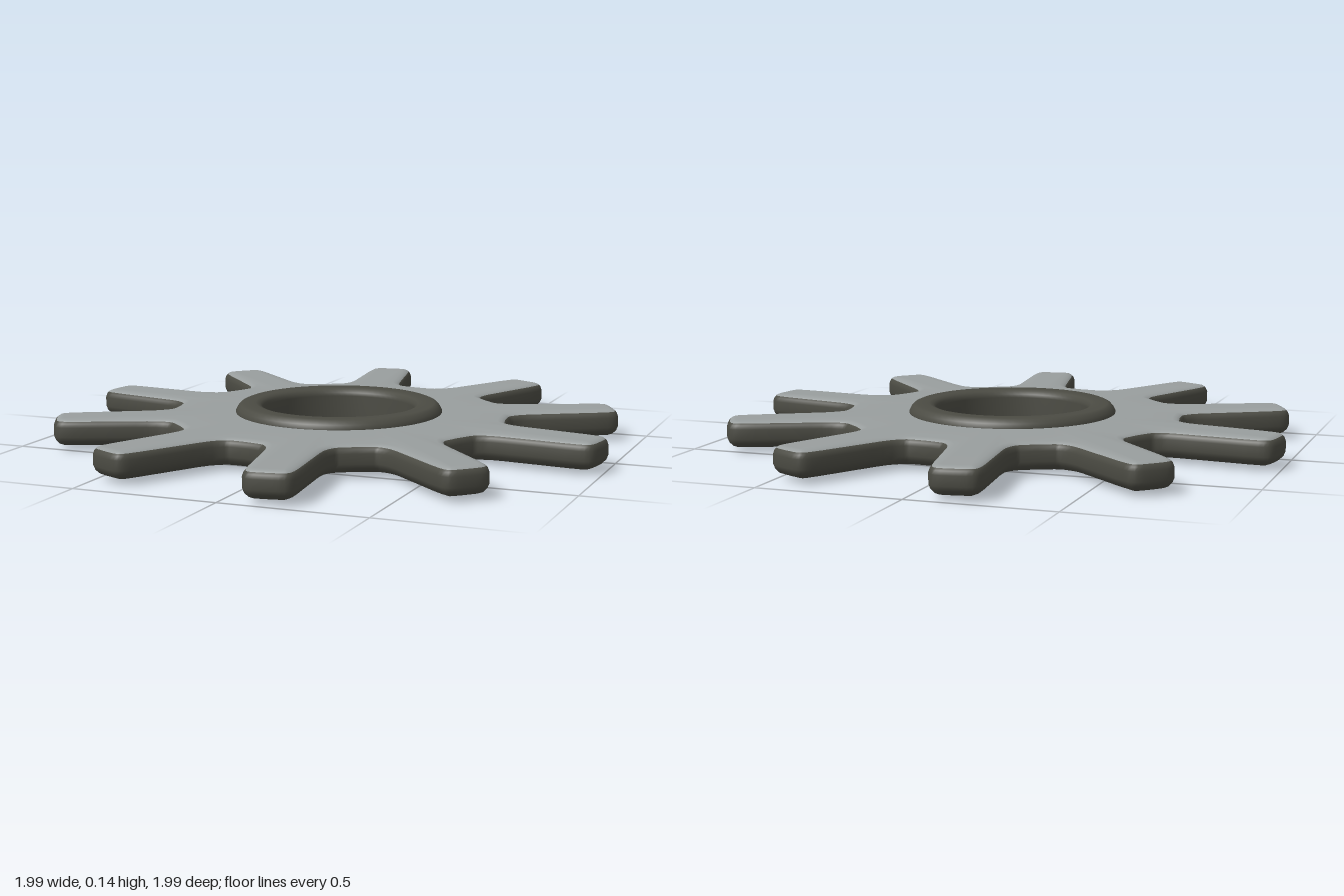
import * as THREE from 'three';

const TEETH = 10, START = 8.7 * Math.PI / 180;

// Gear outline in the x/z plane: one tooth profile repeated around the axis
function gearOutline() {
  const half = [[0.596, 0.134], [0.608, 0.122], [0.645, 0.106], [0.72, 0.1], [0.85, 0.094],
    [0.955, 0.087], [0.985, 0.077], [0.999, 0.058], [1.003, 0.02]];
  const tooth = [...half.map(([r, w]) => [r, -w]), ...half.slice().reverse()];
  const pts = [];
  for (let k = 0; k < TEETH; k++) {
    const a = START + k * 2 * Math.PI / TEETH, c = Math.cos(a), s = Math.sin(a);
    for (const [r, w] of tooth) pts.push(new THREE.Vector3(r * c - w * s, 0, r * s + w * c));
  }
  const curve = new THREE.CatmullRomCurve3(pts, true, 'centripetal');
  return curve.getPoints(pts.length * 2).slice(0, -1);
}

// Rounded plate: inset copies of the outline stacked in y, closing in to the hub
function plateGeometry() {
  const outline = gearOutline(), n = outline.length;
  const inward = outline.map((p, i) => {
    const d = outline[(i + 1) % n].clone().sub(outline[(i + n - 1) % n]).normalize();
    return new THREE.Vector3(-d.z, 0, d.x);
  });
  // [inset, y, blend towards hub circle]
  const levels = [[0.034, 0.014, 1], [0.034, 0.014, 0.4], [0.034, 0.015, 0], [0.018, 0.021, 0],
    [0.006, 0.033, 0], [0, 0.048, 0], [0, 0.082, 0], [0.005, 0.095, 0], [0.011, 0.102, 0],
    [0.02, 0.107, 0], [0.034, 0.11, 0], [0.034, 0.112, 0.4], [0.034, 0.112, 1]];
  const pos = [], index = [];
  for (const [inset, y, t] of levels) {
    outline.forEach((p, i) => {
      const q = p.clone().addScaledVector(inward[i], inset);
      q.setLength(THREE.MathUtils.lerp(q.length(), 0.32, t));
      pos.push(q.x, y, q.z);
    });
  }
  for (let j = 0; j < levels.length - 1; j++) {
    for (let i = 0; i < n; i++) {
      const a = j * n + i, b = j * n + (i + 1) % n;
      index.push(a, a + n, b, b, a + n, b + n);
    }
  }
  const g = new THREE.BufferGeometry();
  g.setAttribute('position', new THREE.Float32BufferAttribute(pos, 3));
  g.setIndex(index);
  g.computeVertexNormals();
  // Underside and edge first, then the pale upper face
  const split = 8 * n * 6;
  g.addGroup(0, split, 0);
  g.addGroup(split, index.length - split, 1);
  return g;
}

export function createModel() {
  const dark = new THREE.MeshStandardMaterial({ color: 0x4b4b43 });
  dark.name = 'darkMetal';
  const pale = new THREE.MeshStandardMaterial({ color: 0x999e9e });
  pale.name = 'paleMetal';

  const model = new THREE.Group();
  model.name = 'gearWheel';

  const plate = new THREE.Mesh(plateGeometry(), [dark, pale]);
  plate.name = 'toothedPlate';
  model.add(plate);

  // Hub ring with softened edges around the open bore
  const profile = [[0.27, 0.012], [0.274, 0.004], [0.284, 0], [0.326, 0], [0.334, 0.003],
    [0.34, 0.012], [0.342, 0.05], [0.366, 0.106], [0.366, 0.116], [0.36, 0.128], [0.35, 0.139],
    [0.338, 0.144], [0.296, 0.144], [0.28, 0.139], [0.272, 0.128], [0.27, 0.116], [0.27, 0.012]];
  const hub = new THREE.Mesh(
    new THREE.LatheGeometry(profile.map(([r, y]) => new THREE.Vector2(r, y)), 72), dark);
  hub.name = 'hubRing';
  model.add(hub);

  return model;
}
